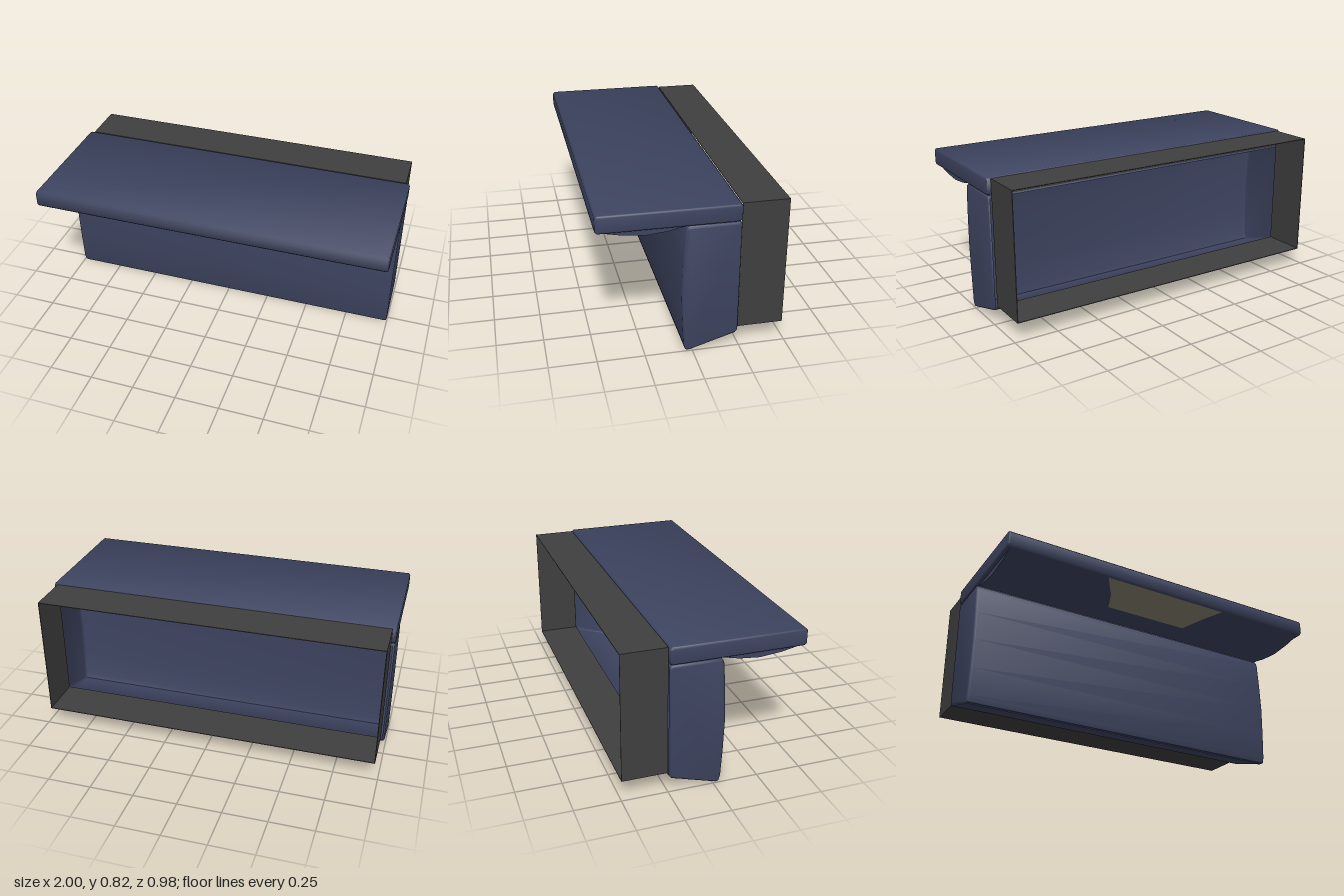
import * as THREE from 'three';
import { toCreasedNormals } from 'three/addons/utils/BufferGeometryUtils.js';

const mat = (name, color) => {
  const m = new THREE.MeshStandardMaterial({ color, side: THREE.DoubleSide });
  m.name = name;
  return m;
};

// Extrudes a [z, y] profile across x, centred, with softened ends.
function across(points, width, bevel) {
  const shape = new THREE.Shape(points.map(([z, y]) => new THREE.Vector2(z, y)));
  const geo = new THREE.ExtrudeGeometry(shape, {
    depth: width - 2 * bevel, bevelEnabled: bevel > 0,
    bevelThickness: bevel, bevelSize: bevel, bevelOffset: -bevel, bevelSegments: 2,
  });
  geo.translate(0, 0, -(width - 2 * bevel) / 2);
  geo.rotateY(-Math.PI / 2);
  return toCreasedNormals(geo, 0.9);
}

// Keeps only the triangles whose normal and centre pass a test.
function filterFaces(geo, keep) {
  const p = geo.attributes.position, n = geo.attributes.normal;
  const pos = [], nor = [], tri = new THREE.Triangle();
  const normal = new THREE.Vector3(), mid = new THREE.Vector3();
  for (let i = 0; i < p.count; i += 3) {
    tri.setFromAttributeAndIndices(p, i, i + 1, i + 2);
    tri.getNormal(normal);
    tri.getMidpoint(mid);
    if (!keep(normal, mid)) continue;
    for (let k = i; k < i + 3; k++) {
      pos.push(p.getX(k), p.getY(k), p.getZ(k));
      nor.push(n.getX(k), n.getY(k), n.getZ(k));
    }
  }
  const out = new THREE.BufferGeometry();
  out.setAttribute('position', new THREE.Float32BufferAttribute(pos, 3));
  out.setAttribute('normal', new THREE.Float32BufferAttribute(nor, 3));
  return out;
}

// Rectangle outline with a rectangular hole, inset by a wall thickness.
function ringShape(x0, y0, x1, y1, t) {
  const rect = (a, b, c, d) => [[a, b], [c, b], [c, d], [a, d]].map(([x, y]) => new THREE.Vector2(x, y));
  const s = new THREE.Shape(rect(x0, y0, x1, y1));
  s.holes.push(new THREE.Path(rect(x0 + t, y0 + t, x1 - t, y1 - t)));
  return s;
}

export function createModel() {
  const group = new THREE.Group();
  const blue = mat('navy blue', 0x3d4460);
  const grey = mat('dark grey', 0x3f3f3f);
  const tan = mat('dull tan', 0x8a8672);
  const add = (name, geo, material) => {
    const m = new THREE.Mesh(geo, material);
    m.name = name;
    group.add(m);
    return m;
  };

  // Open rear sleeve
  const sleeve = new THREE.ExtrudeGeometry(ringShape(-0.977, 0.103, 0.977, 0.816, 0.004),
    { depth: 0.247, bevelEnabled: false });
  sleeve.translate(0, 0, -0.492);
  add('rearSleeve', sleeve, grey);

  // Hollow bin with a bowed front and sloping floor, open at the back and top
  const bin = across([
    [0.015, 0.003], [0.035, 0.005], [0.045, 0.04], [0.054, 0.2], [0.06, 0.37], [0.054, 0.54],
    [0.045, 0.69], [0.037, 0.713], [0.025, 0.723], [-0.232, 0.723], [-0.244, 0.711],
    [-0.244, 0.095], [-0.23, 0.077],
  ], 1.996, 0.012);
  add('bin', filterFaces(bin, (n, c) =>
    !(n.z < -0.98 && c.z < -0.2) && !(n.y > 0.98 && c.y > 0.7)), blue);

  // Thin seal around the top of the bin
  const seal = new THREE.ExtrudeGeometry(ringShape(-0.98, -0.235, 0.98, 0.025, 0.012),
    { depth: 0.004, bevelEnabled: false });
  seal.rotateX(Math.PI / 2);
  add('rimSeal', seal, tan).position.y = 0.726;

  // Overhanging lid
  add('lid', across([
    [-0.232, 0.726], [0.48, 0.726], [0.492, 0.738], [0.492, 0.809],
    [0.48, 0.821], [-0.232, 0.821], [-0.244, 0.809], [-0.244, 0.738],
  ], 2, 0.01), blue);

  // Curved swelling beneath the lid
  const curve = [[0.475, 0.726], [0.36, 0.702], [0.24, 0.69], [0.13, 0.7], [0.03, 0.722]];
  add('lidUnderside', across([...curve, [0.03, 0.73], [0.475, 0.73]], 1.96, 0), blue);

  // Tapered plate on the front of the swelling
  const half = [0.39, 0.31, 0.26];
  const pos = [];
  for (let i = 0; i < 2; i++) {
    const corner = (k, s) => [s * half[k], curve[k][1] - 0.002, curve[k][0] + 0.001];
    const a = corner(i, -1), b = corner(i, 1), c = corner(i + 1, 1), d = corner(i + 1, -1);
    pos.push(...a, ...d, ...c, ...a, ...c, ...b);
  }
  const plate = new THREE.BufferGeometry();
  plate.setAttribute('position', new THREE.Float32BufferAttribute(pos, 3));
  plate.computeVertexNormals();
  add('gripPlate', plate, tan);

  return group;
}
